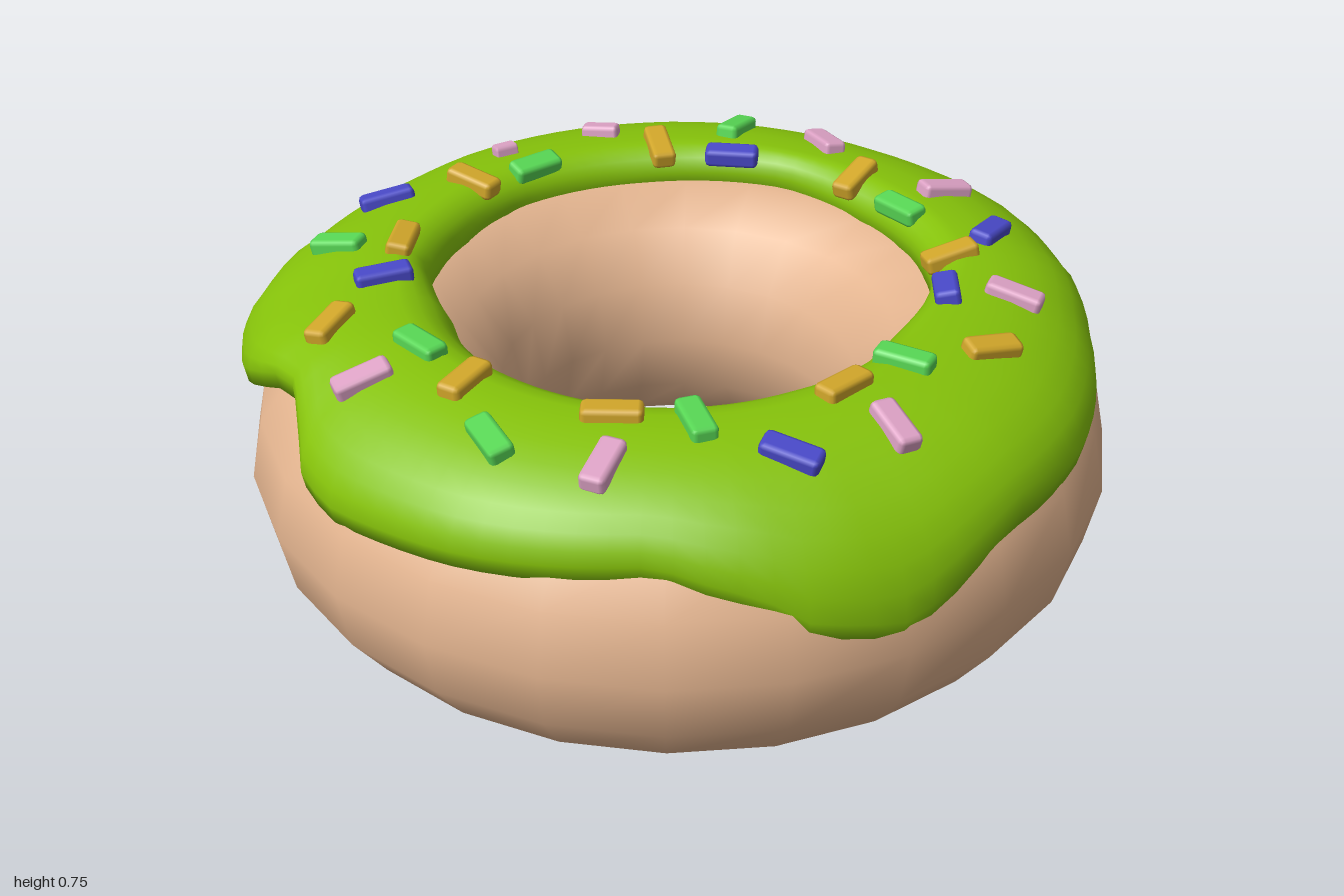
import * as THREE from 'three';
import { RoundedBoxGeometry } from 'three/addons/geometries/RoundedBoxGeometry.js';

const mat = (name, color, side = THREE.FrontSide) => {
  const m = new THREE.MeshStandardMaterial({ color, side });
  m.name = name;
  return m;
};

// Linear interpolation in a list of [key, value] pairs
function lookup(table, k) {
  const i = Math.max(1, table.findIndex(p => k <= p[0]));
  const [a, va] = table[i - 1], [b, vb] = table[i];
  return va + (vb - va) * (k - a) / (b - a);
}

// Dough ring: an upright ellipse swept around y
const RING = 0.68, HALF_W = 0.302, HALF_H = 0.328, MID = 0.32;
const outerRadius = y => RING + HALF_W * Math.sqrt(Math.max(0, 1 - ((y - MID) / HALF_H) ** 2));
const innerHeight = r => MID + HALF_H * Math.sqrt(1 - ((r - RING) / HALF_W) ** 2);

// Icing outline by angle in degrees, from +x towards +z
const RIM_RADIUS = [[0, 0.955], [24, 0.97], [42, 0.965], [59, 0.99], [67, 0.985], [90, 0.905], [115, 0.935],
  [131, 0.935], [144, 0.91], [156, 0.875], [169, 0.957], [183, 1.0], [194, 1.0], [202, 0.95], [220, 0.945],
  [233, 0.97], [253, 0.985], [270, 0.99], [287, 0.995], [304, 1.0], [320, 1.03], [328, 1.035], [345, 0.97], [360, 0.955]];
const RIM_HEIGHT = [[0, 0.49], [12, 0.48], [40, 0.47], [48, 0.43], [59, 0.355], [72, 0.405], [77, 0.46], [90, 0.52],
  [115, 0.50], [137, 0.47], [146, 0.49], [152, 0.58], [160, 0.58], [175, 0.47], [190, 0.42], [205, 0.49],
  [225, 0.47], [245, 0.48], [280, 0.49], [300, 0.47], [317, 0.43], [327, 0.41], [336, 0.45], [348, 0.51], [360, 0.49]];
const HOLE_RADIUS = [[0, 0.575], [8, 0.55], [23, 0.51], [43, 0.515], [61, 0.49], [99, 0.505], [122, 0.49], [150, 0.49],
  [167, 0.485], [188, 0.56], [209, 0.57], [232, 0.595], [262, 0.605], [294, 0.635], [314, 0.61], [337, 0.605],
  [353, 0.595], [360, 0.575]];
const TOP = 0.72;

// Rim and hole edges of the icing, and the radius of its crest
function icingSection(deg) {
  const hr = lookup(HOLE_RADIUS, deg), hy = innerHeight(hr), ry = lookup(RIM_HEIGHT, deg);
  const rr = Math.max(lookup(RIM_RADIUS, deg), outerRadius(ry + 0.03) + 0.012);
  return { hr, hy, rr, ry, crest: THREE.MathUtils.clamp(hr + 0.08, 0.61, 0.69) };
}

// Height of the icing's upper surface at a point
function icingY(x, z) {
  const deg = (THREE.MathUtils.radToDeg(Math.atan2(z, x)) + 360) % 360;
  const { hr, hy, rr, ry, crest } = icingSection(deg), r = Math.hypot(x, z);
  const [edge, base] = r < crest ? [hr, hy + 0.02] : [rr, ry + 0.04];
  const t = Math.min(0.6, (r - crest) / (edge - crest));
  return base + (TOP - base) * Math.sqrt(1 - t * t);
}

// Icing shell: a closed cross-section swept around the ring
function icingGeometry() {
  const segs = 90, pos = [], index = [];
  for (let i = 0; i < segs; i++) {
    const deg = i * 360 / segs, a = THREE.MathUtils.degToRad(deg);
    const { hr, hy, rr, ry, crest } = icingSection(deg);
    const pts = [[hr + 0.03, hy - 0.04], [hr, hy - 0.015]];
    for (let k = 0; k <= 5; k++) {
      const t = k / 5 * Math.PI / 2;
      pts.push([crest - (crest - hr) * Math.cos(t), hy + 0.02 + (TOP - hy - 0.02) * Math.sin(t)]);
    }
    for (let k = 1; k <= 8; k++) {
      const t = k / 8 * Math.PI / 2;
      pts.push([crest + (rr - crest) * Math.sin(t), ry + 0.04 + (TOP - ry - 0.04) * Math.cos(t)]);
    }
    pts.push([rr - 0.008, ry], [Math.min(rr, outerRadius(ry)) - 0.04, ry + 0.015]);
    for (const [r, y] of pts) pos.push(r * Math.cos(a), y, r * Math.sin(a));
    const n = pts.length, next = (i + 1) % segs;
    for (let j = 0; j < n; j++) {
      const k = (j + 1) % n;
      const p = i * n + j, q = next * n + j, u = i * n + k, v = next * n + k;
      index.push(p, q, u, q, v, u);
    }
  }
  const g = new THREE.BufferGeometry();
  g.setAttribute('position', new THREE.Float32BufferAttribute(pos, 3));
  g.setIndex(index);
  g.computeVertexNormals();
  return g;
}

// Sprinkles: [x, z, turn in degrees from +x towards +z, length scale]
const SPRINKLES = {
  pink: [0xdea3c6, [[-0.2, -0.72, 10, 0.7], [-0.43, -0.6, -30, 0.45], [0.36, -0.68, 65], [0.64, -0.43, -25],
    [0.76, 0.07, 20], [-0.63, 0.45, -25], [-0.11, 0.76, -70], [0.47, 0.6, 60]]],
  green: [0x58d855, [[0.14, -0.76, -65], [-0.35, -0.53, -40], [-0.77, -0.13, 20], [-0.52, 0.35, 45], [-0.34, 0.68, 60],
    [0.07, 0.63, 70], [0.5, 0.38, 25], [0.53, -0.34, 50]]],
  gold: [0xd2a72a, [[-0.05, -0.65, 75], [0.43, -0.49, -55], [-0.49, -0.43, 30], [-0.62, -0.12, -85], [-0.73, 0.24, -65],
    [-0.41, 0.49, -60], [-0.1, 0.61, 0], [0.37, 0.49, -45], [0.69, 0.3, -25], [0.63, -0.1, -20]]],
  blue: [0x4a4aca, [[0.13, -0.615, 5], [-0.69, -0.36, -20], [-0.64, 0.05, -20], [0.61, 0.07, 90], [0.73, -0.21, -60],
    [0.26, 0.71, 20]]],
};

export function createModel() {
  const group = new THREE.Group();
  group.name = 'ringCake';

  // Dough ring
  const ring = new THREE.TorusGeometry(RING, HALF_W, 14, 24);
  ring.rotateX(Math.PI / 2).scale(1, HALF_H / HALF_W, 1).translate(0.018, MID, 0.008);
  const dough = new THREE.Mesh(ring, mat('dough', 0xe3b48f));
  dough.name = 'dough';
  group.add(dough);

  // Icing with drips
  const icing = new THREE.Mesh(icingGeometry(), mat('icing', 0x86c30a, THREE.DoubleSide));
  icing.name = 'icing';
  group.add(icing);

  // Sprinkles, each lying along the icing
  const stick = new RoundedBoxGeometry(0.13, 0.045, 0.058, 1, 0.012);
  const up = new THREE.Vector3(0, 1, 0), e = 0.03;
  for (const [name, [color, list]] of Object.entries(SPRINKLES)) {
    const material = mat(name + 'Sprinkle', color);
    for (const [x, z, turn, length = 1] of list) {
      const slope = (dx, dz) => THREE.MathUtils.clamp((icingY(x - dx, z - dz) - icingY(x + dx, z + dz)) / (2 * e), -0.2, 0.2);
      const normal = new THREE.Vector3(slope(e, 0), 1, slope(0, e)).normalize();
      const sprinkle = new THREE.Mesh(stick, material);
      sprinkle.name = name + 'Sprinkle';
      sprinkle.position.set(x, icingY(x, z) + 0.002, z);
      sprinkle.quaternion.setFromUnitVectors(up, normal)
        .multiply(new THREE.Quaternion().setFromAxisAngle(up, -THREE.MathUtils.degToRad(turn)));
      sprinkle.scale.set(length, 1, Math.sqrt(length));
      group.add(sprinkle);
    }
  }
  return group;
}
